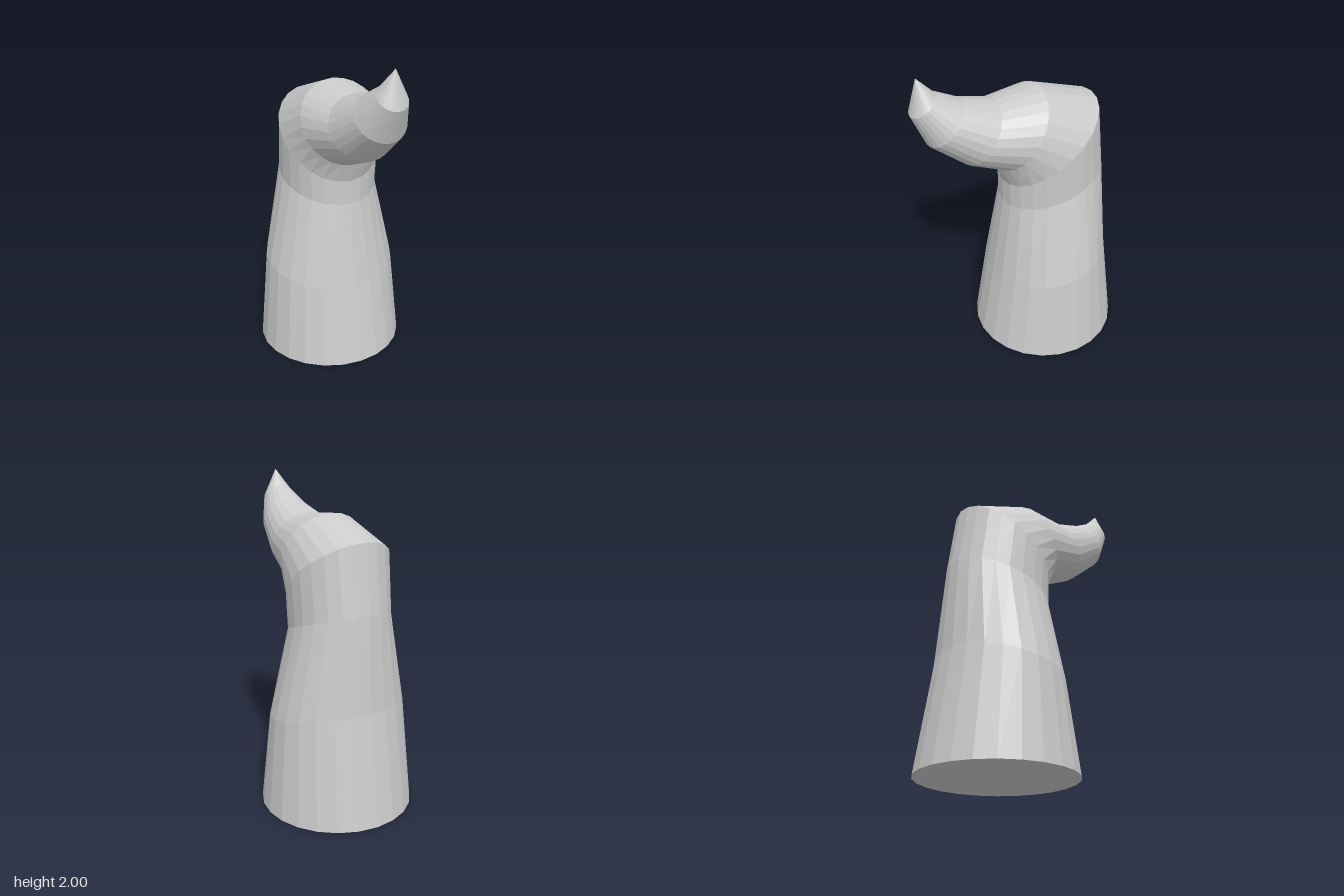
import * as THREE from 'three';

const SIDES = 24;

// Tilted elliptical rings: front z, front y, back z, back y, half width
const RINGS = [
  [0.29, 0, -0.655, 0, 0.472],
  [0.20, 0.52, -0.56, 0.68, 0.422],
  [0.12, 1.06, -0.53, 1.26, 0.30],
  [0.12, 1.21, -0.48, 1.66, 0.305],
  [0.16, 1.33, -0.12, 1.785, 0.265],
  [0.375, 1.425, 0.155, 1.76, 0.205],
  [0.575, 1.595, 0.36, 1.82, 0.155],
  [0.655, 1.79, 0.51, 1.90, 0.09],
];
const TIP = [0, 2, 0.605];

function ringPoint([fz, fy, bz, by, w], j) {
  const a = (j % SIDES) / SIDES * Math.PI * 2;
  const t = (1 - Math.cos(a)) / 2;
  return [w * Math.sin(a), fy + (by - fy) * t, fz + (bz - fz) * t];
}

// Skin a run of rings; optionally close the top to a point
function skin(rings, apex) {
  const pos = [];
  for (let j = 0; j < SIDES; j++) {
    for (let i = 0; i < rings.length - 1; i++) {
      const a = ringPoint(rings[i], j), b = ringPoint(rings[i], j + 1);
      const c = ringPoint(rings[i + 1], j + 1), d = ringPoint(rings[i + 1], j);
      pos.push(...a, ...b, ...c, ...a, ...c, ...d);
    }
    if (apex) {
      const top = rings[rings.length - 1];
      pos.push(...ringPoint(top, j), ...ringPoint(top, j + 1), ...apex);
    }
  }
  const geo = new THREE.BufferGeometry();
  geo.setAttribute('position', new THREE.Float32BufferAttribute(pos, 3));
  geo.computeVertexNormals();
  return geo;
}

export function createModel() {
  const group = new THREE.Group();
  group.name = 'bentHorn';
  const material = new THREE.MeshStandardMaterial({ color: 0xcccccc, flatShading: true });
  const add = (name, geometry) => {
    const mesh = new THREE.Mesh(geometry, material);
    mesh.name = name;
    group.add(mesh);
    return mesh;
  };

  // Upright trunk, up to the sharp bend
  add('trunk', skin(RINGS.slice(0, 4)));

  // Forward-curling upper part, ending in a point
  add('curledTip', skin(RINGS.slice(3), TIP));

  // Flat underside, turned so its corners meet the trunk
  const base = add('base', new THREE.CircleGeometry(0.4725, SIDES));
  base.rotation.x = Math.PI / 2;
  base.position.z = (0.29 - 0.655) / 2;

  return group;
}
